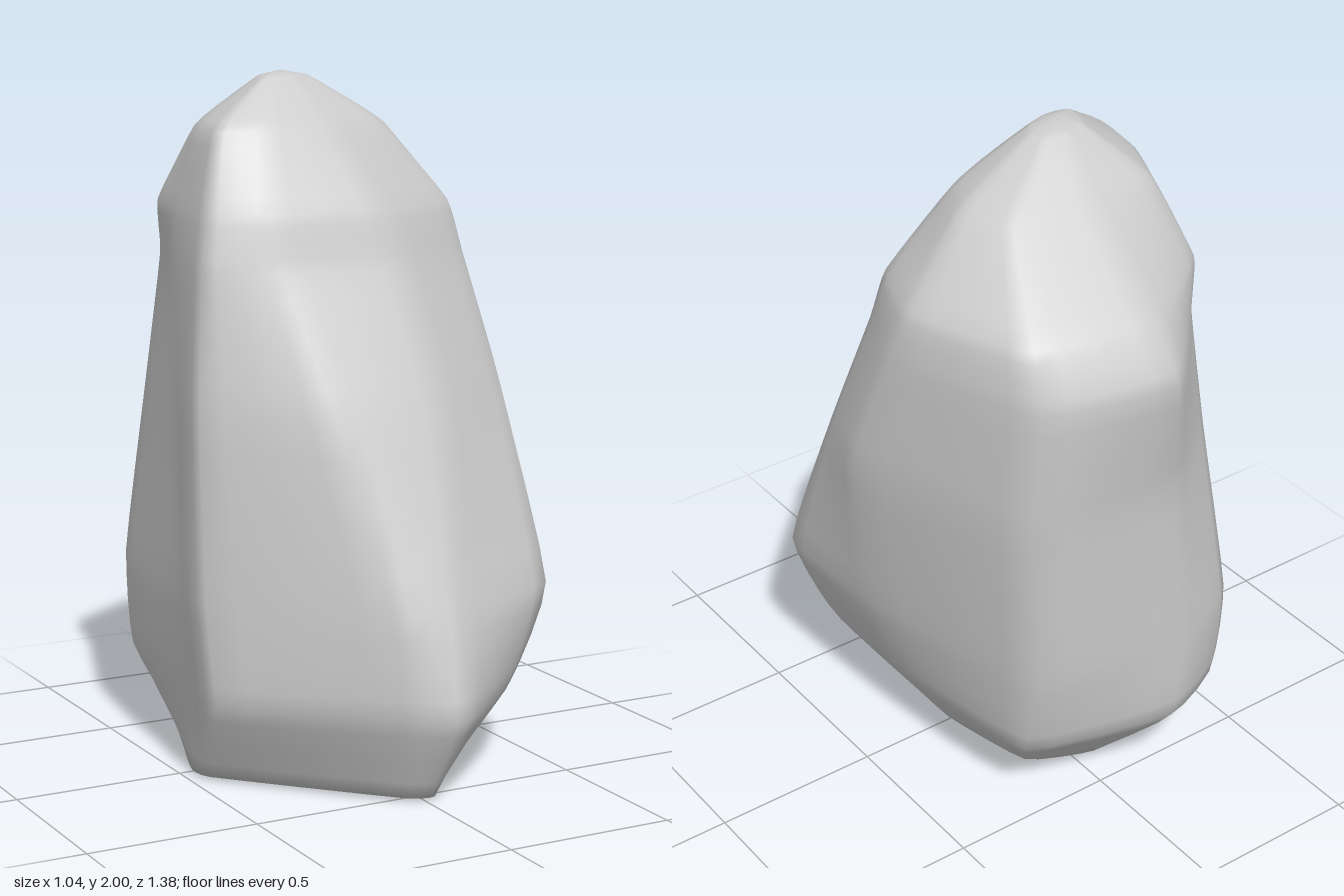
import * as THREE from 'three';

// Horizontal sections: height, then x,z corners running
// nose, front left, left, back left, back, back right, right, front right, front
const SECTIONS = [
  [0.01, 0.03, 0.55, 0.19, 0.3, 0.2, 0, 0.13, -0.3, -0.06, -0.39, -0.32, -0.37, -0.46, -0.01, -0.45, 0.1, -0.06, 0.52],
  [0.26, 0.05, 0.69, 0.36, 0.41, 0.36, -0.02, 0.28, -0.5, -0.16, -0.625, -0.42, -0.5, -0.48, 0, -0.495, 0.24, -0.1, 0.61],
  [0.55, 0.07, 0.62, 0.465, 0.43, 0.45, 0, 0.29, -0.57, -0.18, -0.635, -0.43, -0.52, -0.5, 0, -0.515, 0.22, -0.12, 0.58],
  [1.07, 0.12, 0.43, 0.435, 0.23, 0.515, -0.01, 0.32, -0.59, -0.13, -0.63, -0.4, -0.43, -0.48, -0.05, -0.515, 0.19, -0.21, 0.42],
  [1.46, 0.08, 0.275, 0.38, 0.09, 0.475, -0.14, 0.31, -0.6, -0.08, -0.69, -0.36, -0.4, -0.44, -0.15, -0.485, 0.15, -0.29, 0.255],
  [1.62, 0.04, 0.225, 0.35, 0.05, 0.435, -0.19, 0.29, -0.54, -0.06, -0.595, -0.37, -0.39, -0.43, -0.15, -0.455, 0.12, -0.3, 0.21],
  [1.84, -0.05, 0.095, 0.16, 0, 0.24, -0.14, 0.17, -0.29, -0.06, -0.335, -0.29, -0.29, -0.37, -0.12, -0.39, 0.05, -0.26, 0.1],
];
const CORNERS = 9;
const AROUND = 4; // steps between neighbouring corners
const UP = 4; // steps between neighbouring sections
const PEAK = new THREE.Vector3(-0.12, 2, -0.09);
const CROWN = [[1.94, 0.5], [1.985, 0.75]]; // height, share of the way to the peak

// One upright ridge line per corner, closing in on the peak
function ridge(corner) {
  const points = SECTIONS.map((s) => new THREE.Vector3(s[1 + 2 * corner], s[0], s[2 + 2 * corner]));
  const shoulder = points[points.length - 1];
  for (const [height, share] of CROWN) points.push(shoulder.clone().lerp(PEAK, share).setY(height));
  return new THREE.CatmullRomCurve3(points, false, 'catmullrom', 0.22);
}

function boulderGeometry() {
  const ridges = Array.from({ length: CORNERS }, (_, c) => ridge(c));
  const rows = (SECTIONS.length + CROWN.length - 1) * UP;
  const n = CORNERS * AROUND;
  const positions = [];
  const index = [];

  // Rings of slightly rounded corners
  for (let r = 0; r <= rows; r++) {
    const ring = new THREE.CatmullRomCurve3(ridges.map((c) => c.getPoint(r / rows)), true, 'catmullrom', 0.2);
    for (let j = 0; j < n; j++) positions.push(...ring.getPoint(j / n).toArray());
  }
  for (let r = 0; r < rows; r++) {
    for (let j = 0; j < n; j++) {
      const a = r * n + j;
      const b = r * n + ((j + 1) % n);
      index.push(a, b, b + n, a, b + n, a + n);
    }
  }

  // Peak and base, sharing the end rings so the shading runs on smoothly
  const peak = positions.length / 3;
  positions.push(...PEAK.toArray(), -0.1, 0, 0.05);
  for (let j = 0; j < n; j++) {
    const next = (j + 1) % n;
    index.push(peak, rows * n + j, rows * n + next);
    index.push(peak + 1, next, j);
  }

  const geometry = new THREE.BufferGeometry();
  geometry.setAttribute('position', new THREE.Float32BufferAttribute(positions, 3));
  geometry.setIndex(index);
  geometry.computeVertexNormals();
  return geometry;
}

export function createModel() {
  const group = new THREE.Group();
  group.name = 'rock';
  const boulder = new THREE.Mesh(boulderGeometry(), new THREE.MeshStandardMaterial({ color: 0xcccccc }));
  boulder.name = 'boulder';
  group.add(boulder);
  return group;
}
